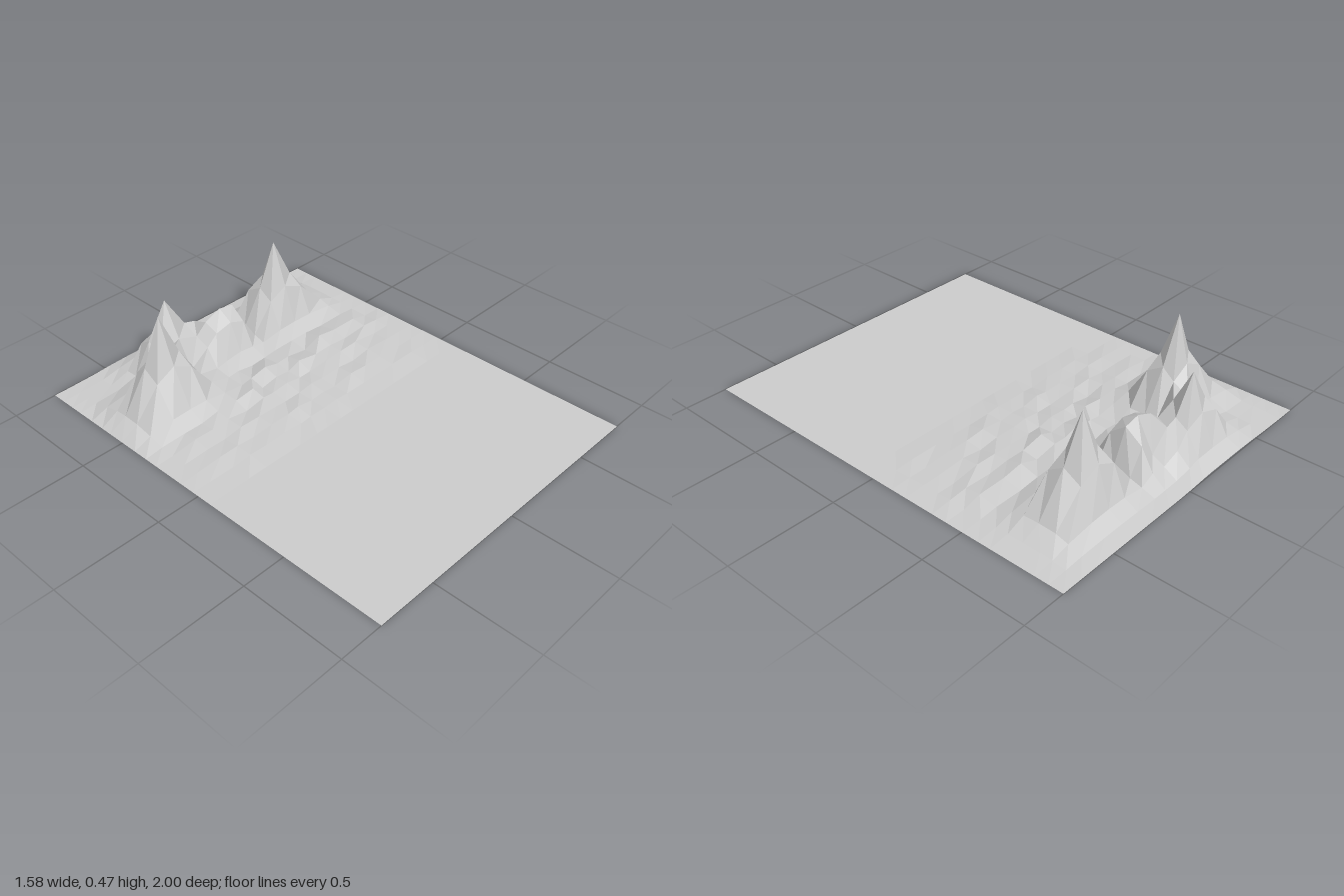
import * as THREE from 'three';

// Uneven grid lines of the terrain sheet
const COLS = [-0.79, -0.7, -0.57, -0.47, -0.375, -0.265, -0.16, -0.1, -0.01, 0.07, 0.14, 0.255, 0.355, 0.46, 0.6, 0.69, 0.79];
const ROWS = [-1, -0.93, -0.865, -0.805, -0.72, -0.645, -0.585, -0.505, -0.415, -0.34, -0.27, -0.19, -0.11, -0.03, 0.07, 1];

// Sharp peaks: column, row, height
const PEAKS = [[3, 6, 0.465], [5, 3, 0.36], [12, 4, 0.445]];
const FALLOFF = [1, 0.52, 0.11, 0.025, 0];

// Hollow, horseshoe-shaped hill, open at the back
const HILL_COL = 6, HILL_ROW = 2;
const HILL = [
  [0.03, 0.08, 0.05, 0.06, 0.02],
  [0.10, 0.17, 0.08, 0.16, 0.03],
  [0.15, 0.20, 0.235, 0.22, 0.04],
  [0.12, 0.17, 0.19, 0.16, 0.04],
  [0.03, 0.04, 0.05, 0.04, 0.02],
];

// Ripple strength per row, fading towards the flat front
const RIPPLE = [0, 0.015, 0.02, 0.025, 0.025, 0.03, 0.03, 0.03, 0.05, 0.042, 0.03, 0.022, 0.022, 0.012, 0, 0];

function peakHeight(c, r, [pc, pr, h]) {
  // Rounded-square distance measured in grid steps
  const d = Math.cbrt(Math.abs(c - pc) ** 3 + Math.abs(r - pr) ** 3);
  const i = Math.floor(d);
  if (i >= FALLOFF.length - 1) return 0;
  return h * THREE.MathUtils.lerp(FALLOFF[i], FALLOFF[i + 1], d - i);
}

function heightAt(c, r) {
  if (c === 0 || c === COLS.length - 1) return 0;
  const edge = Math.min(1, Math.min(c, COLS.length - 1 - c) / 3);
  const wave = 0.55 + 0.45 * Math.sin(c * 2.1 + r * 1.3) * Math.cos(c * 0.8 - r * 2.3);
  const hill = HILL[r - HILL_ROW]?.[c - HILL_COL] ?? 0;
  return Math.max(RIPPLE[r] * wave * edge, hill, ...PEAKS.map((p) => peakHeight(c, r, p)));
}

export function createModel() {
  const group = new THREE.Group();
  group.name = 'mountainLandscape';

  // One sheet whose vertices are raised into peaks and ripples
  const geometry = new THREE.PlaneGeometry(1, 1, COLS.length - 1, ROWS.length - 1);
  const pos = geometry.attributes.position;
  for (let i = 0; i < pos.count; i++) {
    const c = i % COLS.length;
    const r = Math.floor(i / COLS.length);
    pos.setXYZ(i, COLS[c], heightAt(c, r), ROWS[r]);
  }
  geometry.computeVertexNormals();

  const material = new THREE.MeshStandardMaterial({ color: 0xcccccc, flatShading: true, side: THREE.DoubleSide });
  const terrain = new THREE.Mesh(geometry, material);
  terrain.name = 'terrain';
  group.add(terrain);
  return group;
}
